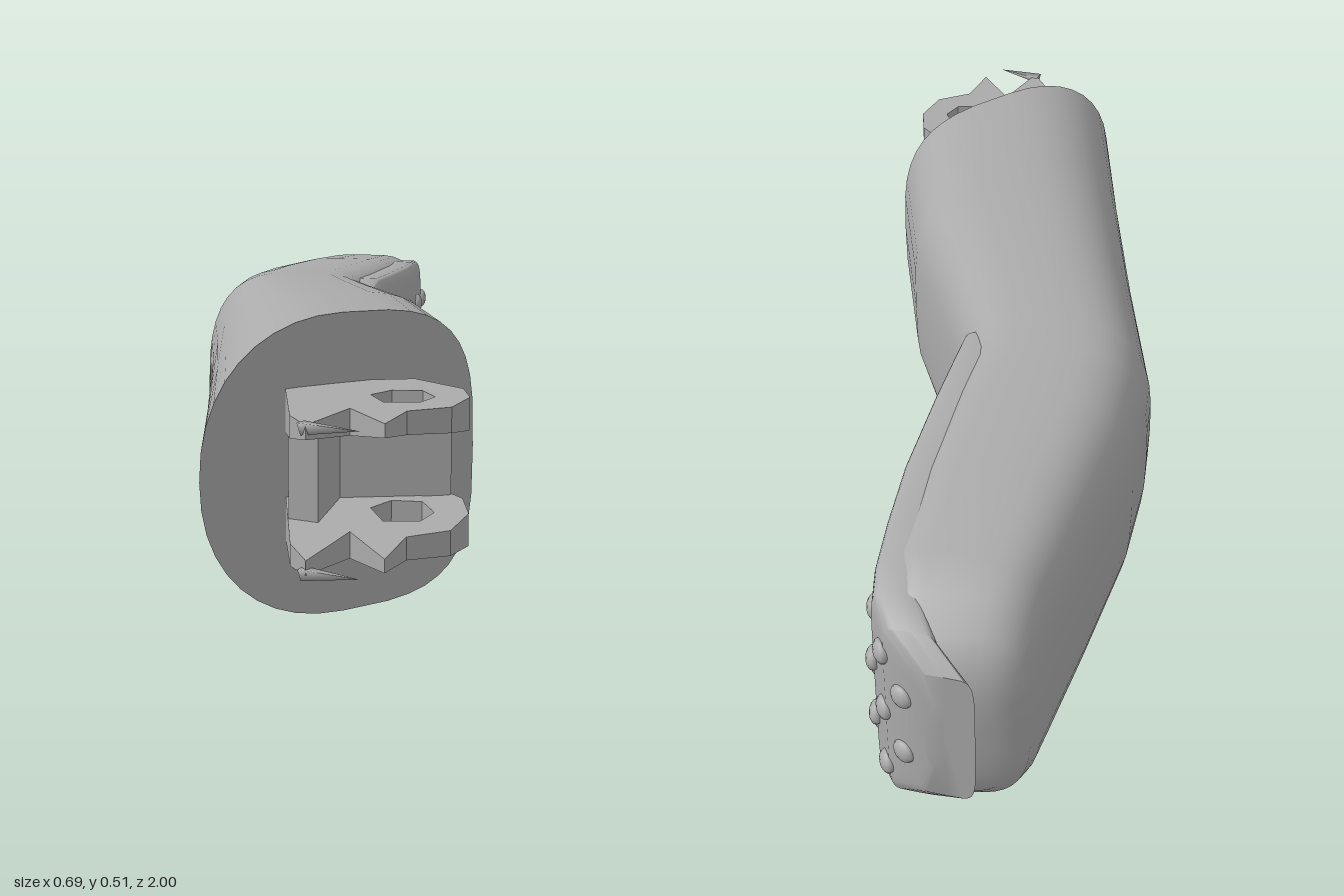
import * as THREE from 'three';
import { toCreasedNormals } from 'three/addons/utils/BufferGeometryUtils.js';

const SIDES = 40;

// Skin rounded cross-sections: [xL, zL, xR, zR, yLow, yHigh, squarenessLeft, squarenessRight]
function loft(sections, crease) {
  const pos = [], idx = [];
  for (const [xl, zl, xr, zr, y0, y1, nl, nr] of sections) {
    for (let j = 0; j < SIDES; j++) {
      const a = (j / SIDES) * Math.PI * 2, c = Math.cos(a), s = Math.sin(a);
      const e = 2 / (c < 0 ? nl : nr);
      const px = Math.sign(c) * Math.abs(c) ** e, py = Math.sign(s) * Math.abs(s) ** e;
      const t = (px + 1) / 2;
      pos.push(xl + (xr - xl) * t, (y0 + y1) / 2 + (py * (y1 - y0)) / 2, zl + (zr - zl) * t);
    }
  }
  const last = (sections.length - 1) * SIDES, centre = sections.length * SIDES;
  for (const s of [sections[0], sections[sections.length - 1]]) {
    pos.push((s[0] + s[2]) / 2, (s[4] + s[5]) / 2, (s[1] + s[3]) / 2);
  }
  for (let j = 0; j < SIDES; j++) {
    const k = (j + 1) % SIDES;
    for (let i = 0; i < last; i += SIDES) {
      idx.push(i + j, i + SIDES + j, i + k, i + k, i + SIDES + j, i + SIDES + k);
    }
    idx.push(centre, j, k, centre + 1, last + k, last + j);
  }
  const g = new THREE.BufferGeometry();
  g.setAttribute('position', new THREE.Float32BufferAttribute(pos, 3));
  g.setIndex(idx);
  return toCreasedNormals(g, crease);
}

// Right-hand edge of the grip, as [x, z]
const gripEdge = [[0.105, -0.2], [0.13, -0.27], [0.18, -0.39], [0.25, -0.57], [0.29, -0.7],
  [0.318, -0.8], [0.328, -0.86], [0.315, -0.92], [0.27, -0.975]];

// Position and outward angle on the grip edge at a given z
function edgeAt(z) {
  let i = 0;
  while (i < gripEdge.length - 2 && gripEdge[i + 1][1] > z) i++;
  const [xa, za] = gripEdge[i], [xb, zb] = gripEdge[i + 1];
  const x = xa + ((xb - xa) * (z - za)) / (zb - za);
  return { x, angle: Math.atan2(xb - xa, za - zb) };
}

export function createModel() {
  const model = new THREE.Group();
  const grey = new THREE.MeshStandardMaterial({ color: 0xaaaaaa });
  grey.name = 'grey';
  const add = (geometry, name, parent = model) => {
    const mesh = new THREE.Mesh(geometry, grey);
    mesh.name = name;
    parent.add(mesh);
    return mesh;
  };

  // Bent handle with a slanted flat front end and a rounded back end
  add(loft([
    [-0.35, 0.755, 0.155, 0.5, 0, 0.512, 2.2, 3.4],
    [-0.31, 0.4, 0.16, 0.2, 0.003, 0.511, 2.4, 3.6],
    [-0.275, 0.05, 0.125, -0.04, 0.006, 0.508, 2.6, 3.8],
    [-0.25, -0.27, 0.11, -0.18, 0.009, 0.505, 2.8, 4],
    [-0.225, -0.36, 0.11, -0.25, 0.011, 0.504, 2.9, 4.5],
    [-0.17, -0.5, 0.16, -0.38, 0.013, 0.503, 3, 5],
    [-0.06, -0.71, 0.235, -0.58, 0.016, 0.501, 3.1, 5],
    [0.03, -0.875, 0.3, -0.78, 0.022, 0.495, 3.2, 5],
    [0.06, -0.935, 0.315, -0.86, 0.04, 0.478, 3.2, 4.5],
    [0.085, -0.975, 0.305, -0.925, 0.075, 0.443, 3.2, 4],
    [0.115, -0.995, 0.275, -0.97, 0.115, 0.4, 3, 3.5],
    [0.15, -1, 0.24, -0.99, 0.17, 0.34, 3, 3],
  ], 0.65), 'handle');

  // Raised pad following the grip edge
  const padInset = [0.015, 0, 0, 0, 0, 0.005, 0.015, 0.035, 0.085];
  add(loft(gripEdge.map(([x, z], i) => [
    x - 0.09, z + (i === 0 ? 0.005 : -0.035), x, z,
    0.035 + padInset[i], 0.485 - padInset[i], 6, 8,
  ]), 0.6), 'gripPad');

  // Staggered rows of small studs on the pad
  const studs = new THREE.Group();
  studs.name = 'gripStuds';
  model.add(studs);
  const rowA = [-0.265, -0.405, -0.545, -0.685, -0.81, -0.91];
  const rowB = [-0.335, -0.475, -0.61, -0.74, -0.86, -0.95];
  [0.125, 0.192, 0.257, 0.322, 0.387].forEach((y, r) => {
    for (const z of r % 2 ? rowB : rowA) {
      const { x, angle } = edgeAt(z);
      const stud = add(new THREE.SphereGeometry(0.022, 12, 8), 'stud', studs);
      stud.scale.x = 0.6;
      stud.position.set(x, y, z);
      stud.rotation.y = -angle;
    }
  });

  // Jagged connector: two pierced prongs joined by webs
  const connector = new THREE.Group();
  connector.name = 'connector';
  model.add(connector);
  const outline = [[-0.1, 0.6], [0.03, 0.6], [0.09, 0.71], [0.085, 0.78], [0.04, 0.85],
    [-0.035, 0.87], [-0.085, 0.955], [-0.12, 0.84], [-0.205, 0.95], [-0.22, 0.88], [-0.2, 0.66]];
  const hole = [[-0.07, 0.74], [-0.03, 0.71], [0.02, 0.72], [0.03, 0.77], [0, 0.805], [-0.06, 0.8]];
  const toVec = ([x, z]) => new THREE.Vector2(x, z);

  function prong(name, yMid, tilt) {
    const shape = new THREE.Shape(outline.map(toVec));
    shape.holes.push(new THREE.Path(hole.map(toVec)));
    const g = new THREE.ExtrudeGeometry(shape, { depth: 0.08, bevelEnabled: false });
    g.rotateX(Math.PI / 2).translate(0, 0.04, 0);
    // Thin the prong towards its torn tips
    const p = g.attributes.position;
    for (let i = 0; i < p.count; i++) {
      const d = p.getZ(i) - 0.64;
      p.setY(i, yMid + p.getY(i) * (1 - 2.3 * Math.max(d, 0)) + tilt * d);
    }
    add(toCreasedNormals(g, 0.1), name, connector);
  }
  prong('upperProng', 0.355, 0.04);
  prong('lowerProng', 0.178, -0.06);

  const web = (name, w, h, d, x, y, z) =>
    add(new THREE.BoxGeometry(w, h, d), name, connector).position.set(x, y, z);
  web('backWeb', 0.19, 0.17, 0.11, -0.02, 0.265, 0.635);
  const side = add(new THREE.BoxGeometry(0.05, 0.17, 0.17), 'sideWeb', connector);
  side.position.set(-0.15, 0.265, 0.71);
  side.rotation.y = -0.45;

  // Loose slivers at the torn tips
  for (const [y, name] of [[0.375, 'upperSliver'], [0.15, 'lowerSliver']]) {
    const sliver = add(new THREE.ConeGeometry(0.014, 0.1, 3), name, connector);
    sliver.position.set(-0.17, y, 0.965);
    sliver.rotation.set(Math.PI / 2, 0, -0.95);
  }
  return model;
}
